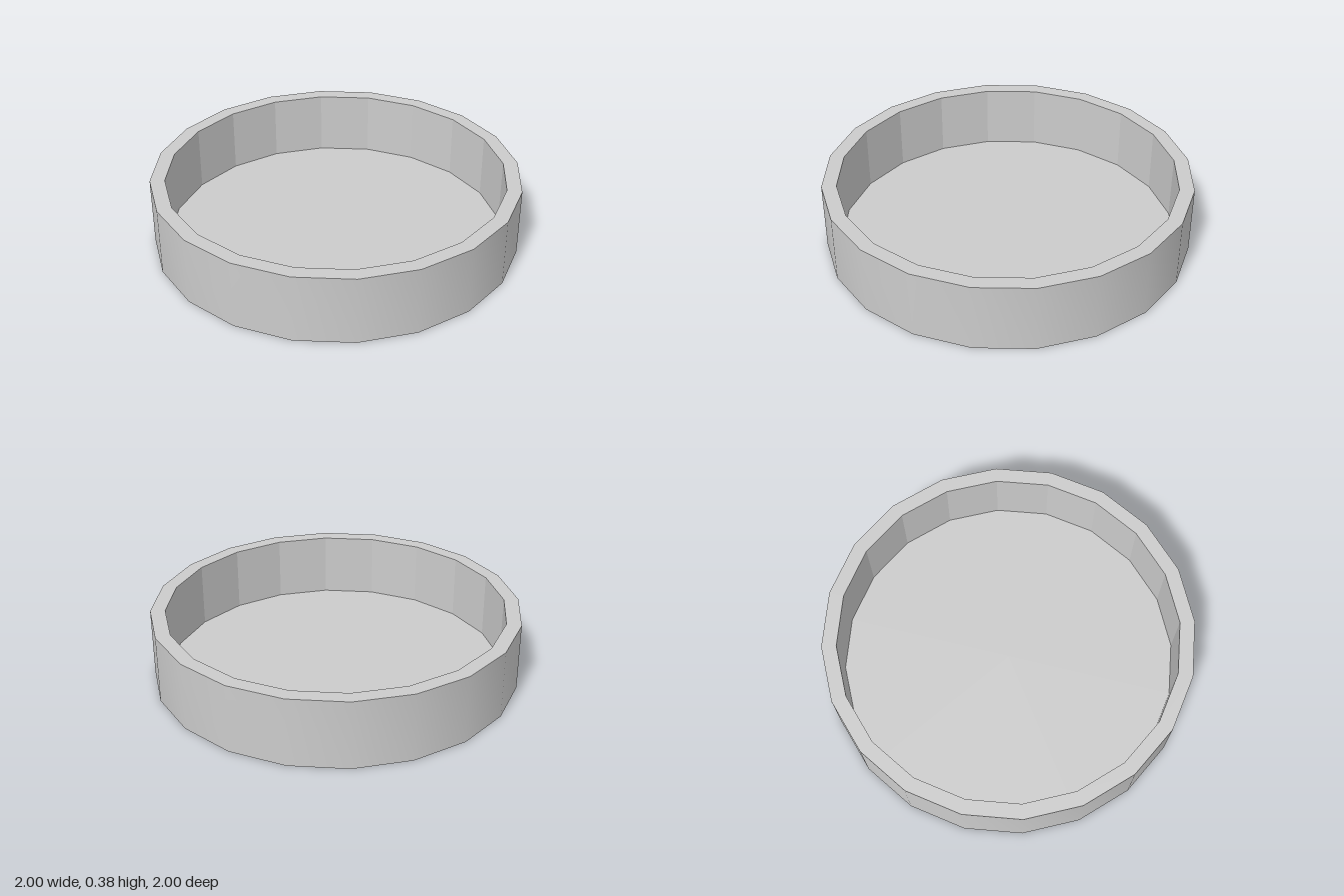
import * as THREE from 'three';
import { toCreasedNormals } from 'three/addons/utils/BufferGeometryUtils.js';

const SIDES = 20;
const RADIUS = 1, INNER = 0.92, HEIGHT = 0.376, FLOOR = 0.02;

// Turns a profile of [radius, height] points into a twenty-sided solid of revolution
function turned(name, profile, creaseAngle, flatShading) {
  const points = profile.map(([r, y]) => new THREE.Vector2(r, y));
  const geometry = toCreasedNormals(new THREE.LatheGeometry(points, SIDES), creaseAngle);
  const mesh = new THREE.Mesh(geometry, new THREE.MeshStandardMaterial({ color: 0xcccccc, flatShading }));
  mesh.name = name;
  return mesh;
}

export function createModel() {
  const dish = new THREE.Group();
  dish.name = 'shallowDish';

  // Underside, smooth outer wall and flat rim
  dish.add(turned('outerShell', [[0, 0], [RADIUS, 0], [RADIUS, HEIGHT], [INNER, HEIGHT]], 0.6, false));

  // Faceted inner wall
  dish.add(turned('innerWall', [[INNER, HEIGHT], [INNER, FLOOR]], 0.1, true));

  // Thin floor
  dish.add(turned('floor', [[INNER, FLOOR], [0, FLOOR]], 0.1, true));

  return dish;
}
